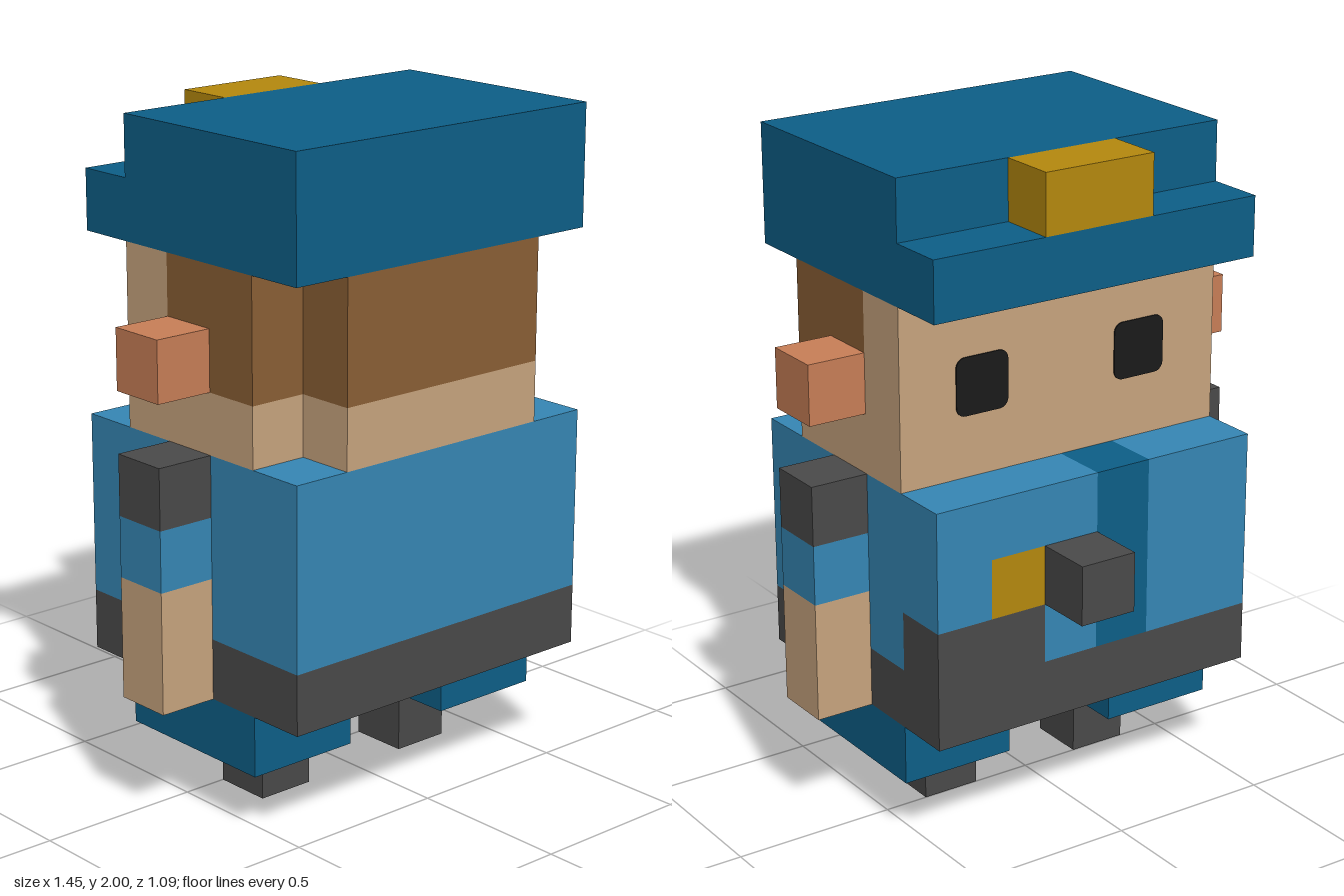
import * as THREE from 'three';

const U = 2 / 11; // one block

export function createModel() {
  const model = new THREE.Group();
  model.name = 'blockOfficer';

  const mat = (name, color) => {
    const m = new THREE.MeshStandardMaterial({ color });
    m.name = name;
    return m;
  };
  const navy = mat('navy', 0x0d5f88);
  const blue = mat('uniform blue', 0x3687b5);
  const grey = mat('dark grey', 0x4a4a4a);
  const skin = mat('skin', 0xc9a57f);
  const brown = mat('hair brown', 0x8b5f35);
  const coral = mat('ear coral', 0xc97f57);
  const gold = mat('gold', 0xb5890e);
  const black = mat('eye black', 0x1a1a1a);

  // Box between two corners given in blocks
  const block = (name, material, [x0, y0, z0], [x1, y1, z1]) => {
    const geo = new THREE.BoxGeometry((x1 - x0) * U, (y1 - y0) * U, (z1 - z0) * U);
    const mesh = new THREE.Mesh(geo, material);
    mesh.position.set((x0 + x1) * U / 2, (y0 + y1) * U / 2, (z0 + z1) * U / 2);
    mesh.name = name;
    model.add(mesh);
  };
  // The same box on both sides of x = 0
  const pair = (name, material, [x0, y0, z0], [x1, y1, z1]) => {
    block(name + 'Left', material, [x0, y0, z0], [x1, y1, z1]);
    block(name + 'Right', material, [-x1, y0, z0], [-x0, y1, z1]);
  };

  // Feet and trouser legs
  pair('foot', grey, [1, 0, 0], [2, 1, 1]);
  pair('leg', navy, [1, 1, -1], [3, 2, 2]);

  // Body: belt, tunic and the face-side panels with tie, badge and holster
  block('belt', grey, [-3, 2, -2], [3, 3, 3]);
  block('tunic', blue, [-3, 3, -1], [3, 6, 3]);
  block('chestPanelRight', blue, [-3, 3, -2], [-1, 6, -1]);
  block('tie', navy, [-1, 3, -2], [0, 6, -1]);
  block('chestPanelMiddle', blue, [0, 3, -2], [1, 6, -1]);
  block('chestPanelLeft', blue, [1, 5, -2], [3, 6, -1]);
  block('chestPanelEdge', blue, [2, 4, -2], [3, 5, -1]);
  block('badge', gold, [1, 4, -2], [2, 5, -1]);
  block('holster', grey, [1, 3, -2], [3, 4, -1]);
  block('radio', grey, [0, 4, -3], [1, 5, -2]);

  // Arms
  pair('forearm', skin, [3, 2, 0], [4, 4, 1]);
  pair('sleeve', blue, [3, 4, 0], [4, 5, 1]);
  pair('shoulder', grey, [3, 5, 0], [4, 6, 1]);

  // Head, hair and ears
  block('face', skin, [-3, 6, -1], [3, 9, 0]);
  block('neck', skin, [-3, 6, 0], [3, 7, 2]);
  block('nape', skin, [-2, 6, 2], [2, 7, 3]);
  block('hair', brown, [-3, 7, 0], [3, 9, 2]);
  block('hairBack', brown, [-2, 7, 2], [2, 9, 3]);
  pair('ear', coral, [3, 7, 0], [4, 8, 1]);

  // Eyes: thin rounded squares on the face
  const h = U * 0.48, r = U * 0.16;
  const shape = new THREE.Shape();
  shape.absarc(h - r, h - r, r, 0, Math.PI / 2);
  shape.absarc(r - h, h - r, r, Math.PI / 2, Math.PI);
  shape.absarc(r - h, r - h, r, Math.PI, Math.PI * 1.5);
  shape.absarc(h - r, r - h, r, Math.PI * 1.5, Math.PI * 2);
  shape.closePath();
  const eyeGeo = new THREE.ExtrudeGeometry(shape, { depth: 0.004, bevelEnabled: false, curveSegments: 4 });
  for (const side of [1, -1]) {
    const eye = new THREE.Mesh(eyeGeo, black);
    eye.name = side > 0 ? 'eyeLeft' : 'eyeRight';
    eye.rotation.y = Math.PI;
    eye.position.set(side * 1.5 * U, 7.5 * U, -U);
    model.add(eye);
  }

  // Cap with peak and emblem block
  block('cap', navy, [-3, 9, -1], [3, 11, 3]);
  block('capPeak', navy, [-3, 9, -2], [3, 10, -1]);
  block('capBadge', gold, [-1, 10, -2], [1, 11, -1]);

  return model;
}
